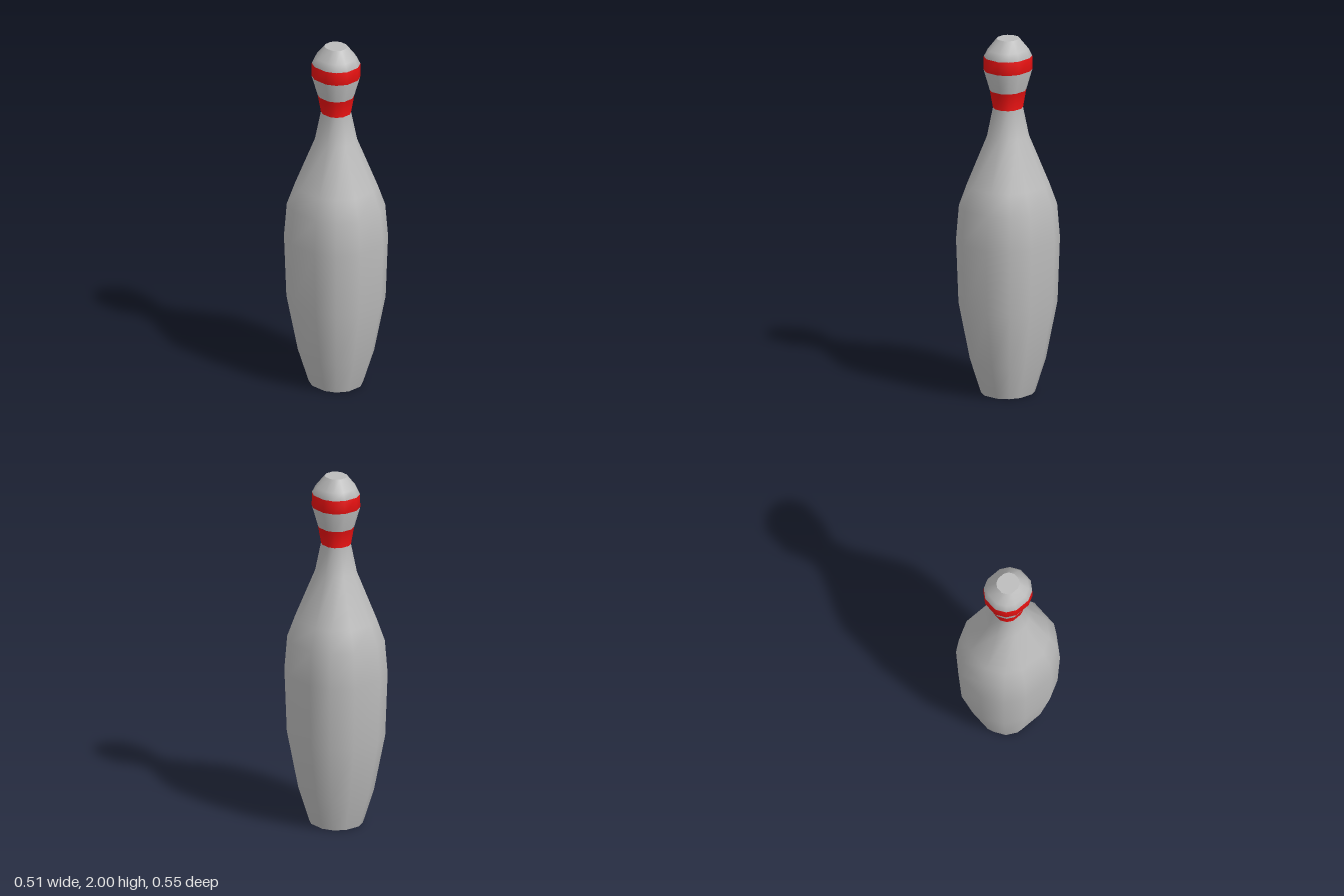
import * as THREE from 'three';

// Rings from base to crown: [height, half width]
const RINGS = [
  [0, 0.133], [0.19, 0.187], [0.51, 0.243], [0.87, 0.255], [1.06, 0.241], [1.18, 0.202],
  [1.45, 0.103], [1.61, 0.074], [1.71, 0.09], [1.825, 0.12], [1.9, 0.119], [1.94, 0.101], [2, 0.057],
];
const RED_RINGS = [7, 9]; // rings where a stripe starts
const DEPTH = 1.075;      // slightly deeper than wide

// Twelve-sided outline, half of it mirrored and then turned round
const quarter = [[1, 0.34], [0.775, 0.735], [0.34, 1]];
const half = [...quarter, ...quarter.map(([x, z]) => [-x, z]).reverse()];
const OUTLINE = [...half, ...half.map(([x, z]) => [-x, -z])];
const N = OUTLINE.length;

const ringPoints = ([y, r]) => OUTLINE.flatMap(([x, z]) => [x * r, y, z * r * DEPTH]);

// Smooth side skin, with one material group per ring gap
function sideGeometry() {
  const geo = new THREE.BufferGeometry();
  const index = [];
  for (let i = 0; i < RINGS.length - 1; i++) {
    geo.addGroup(index.length, N * 6, RED_RINGS.includes(i) ? 1 : 0);
    for (let j = 0; j < N; j++) {
      const k = (j + 1) % N;
      const a = i * N + j, b = i * N + k, c = a + N, d = b + N;
      index.push(a, c, b, b, c, d);
    }
  }
  geo.setAttribute('position', new THREE.Float32BufferAttribute(RINGS.flatMap(ringPoints), 3));
  geo.setIndex(index);
  geo.computeVertexNormals();
  return geo;
}

// Flat end cap with its own normals, so its rim stays sharp
function capGeometry(ring, up) {
  const geo = new THREE.BufferGeometry();
  const index = [];
  for (let j = 0; j < N; j++) {
    const k = (j + 1) % N;
    index.push(N, up ? k : j, up ? j : k);
  }
  const points = [...ringPoints(ring), 0, ring[0], 0];
  geo.setAttribute('position', new THREE.Float32BufferAttribute(points, 3));
  geo.setIndex(index);
  geo.computeVertexNormals();
  return geo;
}

export function createModel() {
  const body = new THREE.MeshStandardMaterial({ color: 0xbcbcbc });
  body.name = 'pale grey';
  const stripe = new THREE.MeshStandardMaterial({ color: 0xee1212 });
  stripe.name = 'stripe red';

  const group = new THREE.Group();
  group.name = 'bowlingPin';
  const add = (name, geometry, material) => {
    const mesh = new THREE.Mesh(geometry, material);
    mesh.name = name;
    group.add(mesh);
  };
  add('stripedBody', sideGeometry(), [body, stripe]);
  add('base', capGeometry(RINGS[0], false), body);
  add('crown', capGeometry(RINGS[RINGS.length - 1], true), body);
  return group;
}
